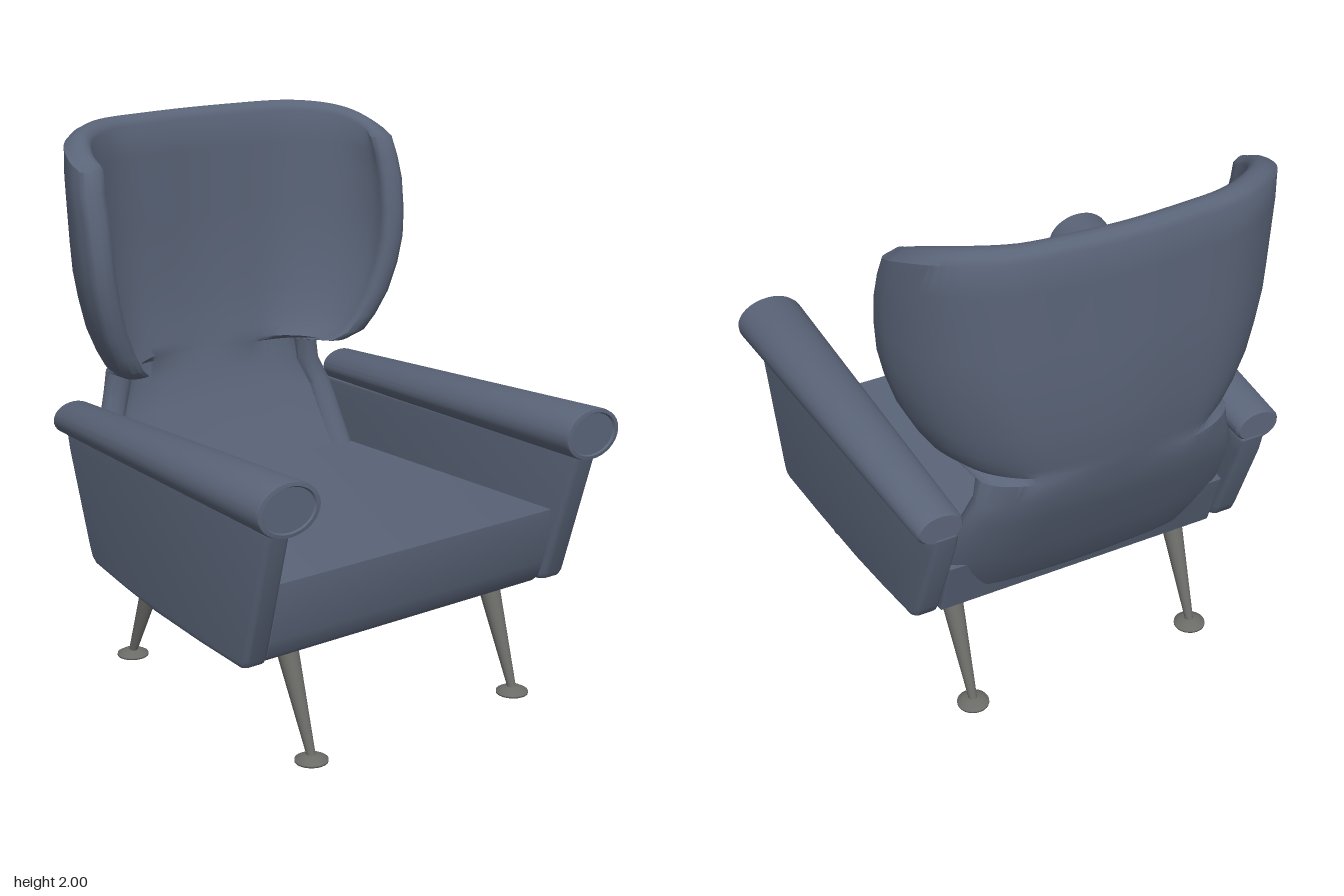
import * as THREE from 'three';
import { toCreasedNormals } from 'three/addons/utils/BufferGeometryUtils.js';

const fabric = new THREE.MeshStandardMaterial({ color: 0x5a6478 });
const metal = new THREE.MeshStandardMaterial({ color: 0x6b6b68 });

function part(name, geometry, material) {
  const mesh = new THREE.Mesh(geometry, material);
  mesh.name = name;
  return mesh;
}

// Skin over closed rings of points; end rings shrink to nothing, so no caps
function loft(rings, crease) {
  const n = rings[0].length;
  const index = [];
  for (let i = 0; i < rings.length - 1; i++) {
    for (let j = 0; j < n; j++) {
      const a = i * n + j, b = i * n + (j + 1) % n;
      index.push(a, b, b + n, a, b + n, a + n);
    }
  }
  const geo = new THREE.BufferGeometry();
  geo.setAttribute('position', new THREE.Float32BufferAttribute(rings.flat(2), 3));
  geo.setIndex(index);
  return toCreasedNormals(geo, crease);
}

// Slab from a (z, y) outline, extruded across x, then warped by a rule
function slab(outline, width, bevel, warpX) {
  const shape = new THREE.Shape(outline.map(([z, y]) => new THREE.Vector2(z, y)));
  const geo = new THREE.ExtrudeGeometry(shape, {
    depth: width - 2 * bevel, bevelSize: bevel, bevelThickness: bevel,
    bevelOffset: -bevel, bevelSegments: 3,
  });
  geo.translate(0, 0, bevel - width / 2).rotateY(-Math.PI / 2);
  const p = geo.attributes.position;
  for (let i = 0; i < p.count; i++) p.setX(i, warpX(p.getX(i), p.getZ(i)));
  return toCreasedNormals(geo, 0.6);
}

// Winged backrest: U-shaped horizontal sections stacked from top to bottom
function backrest() {
  // half section: fraction of half width, fraction of depth
  const half = [[0, 0], [0.3, 0.03], [0.6, 0.1], [0.8, 0.29], [0.93, 0.53], [1, 0.83], [1, 1]];
  const full = [...half.slice(1).reverse().map(([x, z]) => [-x, z]), ...half];
  const curve = new THREE.CatmullRomCurve3(full.map(([x, z]) => new THREE.Vector3(x, 0, z)));
  const path = curve.getPoints(48);
  // y, half width, rear z, wing tip z, edge inset, drop of y towards the tips
  const rows = [
    [2.0, 0.67, -0.775, -0.39, 0.0475, 0.1],
    [1.997, 0.672, -0.775, -0.38, 0.03, 0.1],
    [1.985, 0.678, -0.775, -0.37, 0.012, 0.1],
    [1.965, 0.685, -0.775, -0.36, 0, 0.09],
    [1.85, 0.695, -0.775, -0.335, 0, 0.05],
    [1.72, 0.697, -0.775, -0.31, 0, 0],
    [1.6, 0.695, -0.775, -0.294, 0, 0],
    [1.5, 0.688, -0.775, -0.29, 0, 0],
    [1.4, 0.668, -0.77, -0.295, 0, 0],
    [1.29, 0.635, -0.765, -0.31, 0, 0],
    [1.2, 0.59, -0.755, -0.33, 0, 0],
    [1.14, 0.55, -0.745, -0.35, 0, 0],
    [1.105, 0.5, -0.74, -0.39, 0, 0],
    [1.085, 0.47, -0.735, -0.55, 0, 0],
    [1.0, 0.485, -0.715, -0.555, 0, 0],
    [0.9, 0.525, -0.675, -0.53, 0, 0],
    [0.67, 0.55, -0.565, -0.425, 0, 0],
    [0.5, 0.55, -0.48, -0.35, 0, 0],
    [0.45, 0.55, -0.455, -0.33, 0.015, 0],
    [0.43, 0.55, -0.44, -0.32, 0.0475, 0],
  ];
  return loft(rows.map(([y, hw, rear, tip, e, drop]) => {
    const t = 0.095 - 2 * e, bulge = 0.3 * t;
    const w = hw - e, zb = rear + e, d = tip - bulge - zb;
    const at = (p, k) => [p.x * (w - k), y - drop * p.z * p.z, zb + k + p.z * Math.max(d - k, 0)];
    // rounded tip running round from one face to the other
    const tipArc = (s) => [1, 2, 3, 4].map((i) => {
      const a = (i / 5) * Math.PI;
      const c = s * Math.cos(a);
      return [s * (w - t / 2 + (t / 2) * c * s), y - drop, zb + d + bulge * Math.sin(a)];
    });
    const left = tipArc(1), right = tipArc(-1).reverse();
    return [
      ...path.map((p) => at(p, 0)), ...left,
      ...[...path].reverse().map((p) => at(p, t)),
      ...right.map(([x, yy, z]) => [x, yy, z]),
    ];
  }), 0.75);
}

// Tapered oval armrest roll with a bevelled front end
function armRoll(s) {
  // z, radius scale
  const stations = [[-0.612, 0], [-0.612, 0.9], [-0.6, 1], [0.76, 1], [0.773, 0.97],
    [0.775, 0.84], [0.768, 0.8], [0.768, 0]];
  return loft(stations.map(([z, k]) => {
    const f = (z + 0.61) / 1.385;
    const cx = s * (0.615 + 0.043 * f), cy = 0.94 + 0.036 * f;
    const rx = (0.085 + 0.041 * f) * k, ry = (0.06 + 0.033 * f) * k;
    return Array.from({ length: 32 }, (_, j) => {
      const a = (j / 32) * Math.PI * 2;
      return [cx + rx * Math.cos(a), cy + ry * Math.sin(a), z];
    });
  }), 0.6);
}

// Splayed tapered leg with a flared foot
function leg(name, x, topZ, footZ) {
  const group = new THREE.Group();
  group.name = name;
  const top = new THREE.Vector3(x, 0.43, topZ);
  const foot = new THREE.Vector3(x, 0.015, footZ);
  const dir = top.clone().sub(foot);
  const shaft = part('legShaft', new THREE.CylinderGeometry(0.043, 0.015, dir.length(), 20), metal);
  shaft.position.copy(top).add(foot).multiplyScalar(0.5);
  shaft.quaternion.setFromUnitVectors(new THREE.Vector3(0, 1, 0), dir.normalize());
  const pad = part('footPad', new THREE.LatheGeometry([[0, 0], [0.058, 0], [0.058, 0.007],
    [0.035, 0.02], [0, 0.026]].map(([r, y]) => new THREE.Vector2(r, y)), 24), metal);
  pad.position.set(x, 0, footZ);
  group.add(shaft, pad);
  return group;
}

export function createModel() {
  const model = new THREE.Group();
  model.name = 'wingArmchair';

  // Seat narrows towards the back
  const seatOutline = [[0.63, 0.67], [0.627, 0.62], [0.615, 0.54], [0.595, 0.46], [0.575, 0.4],
    [0.55, 0.377], [0.25, 0.375], [0, 0.382], [-0.2, 0.4], [-0.44, 0.43], [-0.52, 0.67]];
  model.add(part('seat', slab(seatOutline.reverse(), 1.22, 0.006,
    (x, z) => x * (0.94 + 0.1 * z)), fabric));
  model.add(part('backrest', backrest(), fabric));

  const panelOutline = [[0.74, 0.9], [-0.62, 0.9], [-0.6, 0.82], [-0.47, 0.49], [-0.45, 0.45],
    [-0.42, 0.43], [-0.2, 0.405], [0, 0.388], [0.3, 0.38], [0.56, 0.38], [0.585, 0.388], [0.6, 0.41]];
  for (const s of [1, -1]) {
    const side = s > 0 ? 'left' : 'right';
    model.add(part(side + 'ArmPanel', slab(panelOutline, 0.092, 0.018,
      (x, z) => x + s * (0.63 + 0.055 * z)), fabric));
    model.add(part(side + 'ArmRoll', armRoll(s), fabric));
    model.add(leg(side + 'FrontLeg', s * 0.455, 0.455, 0.618));
    model.add(leg(side + 'BackLeg', s * 0.455, -0.31, -0.497));
  }
  return model;
}
